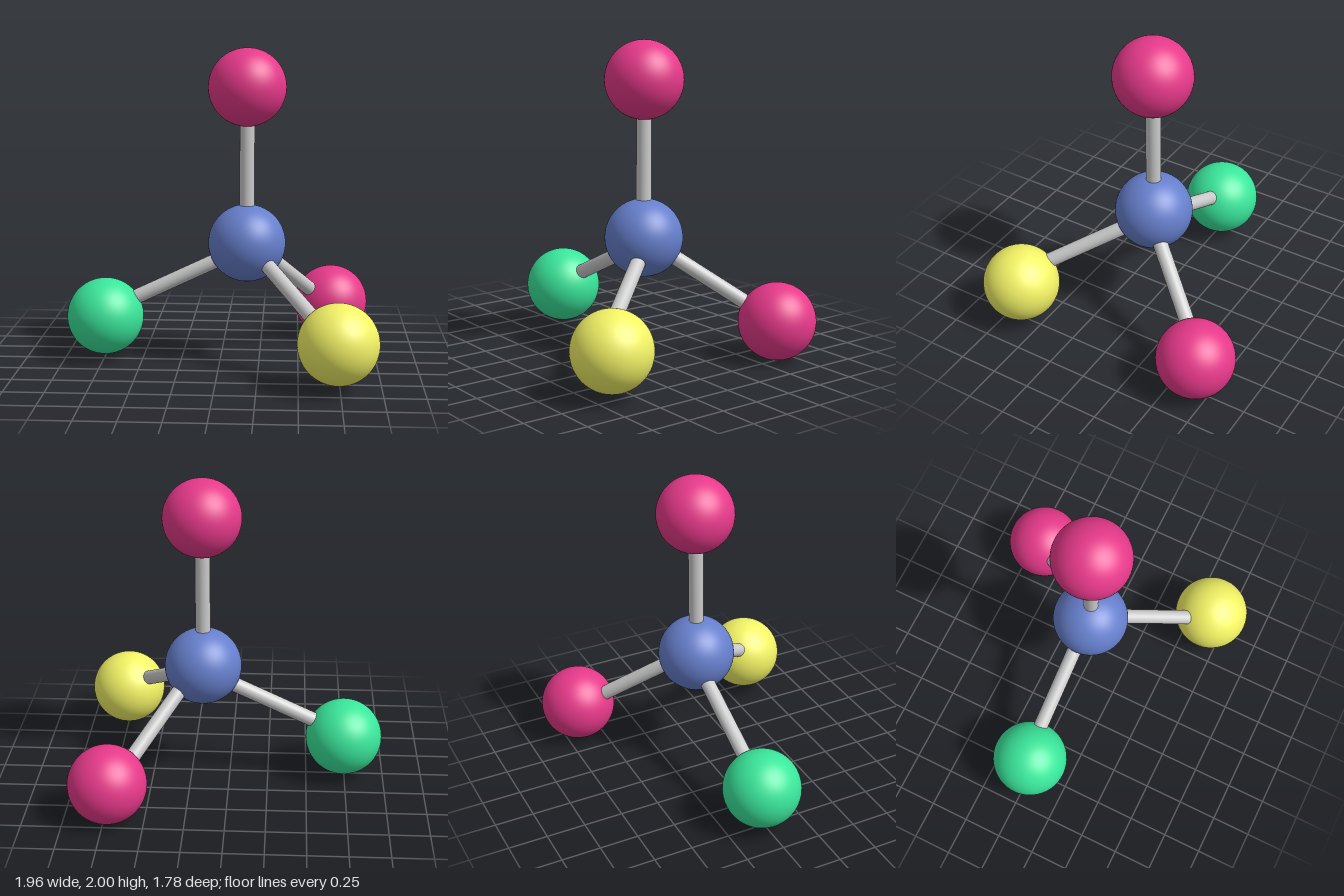
import * as THREE from 'three';

const BALL_RADIUS = 0.245;
const ROD_RADIUS = 0.047;

export function createModel() {
  const model = new THREE.Group();
  model.name = 'ballAndStickModel';

  const material = (color) => new THREE.MeshStandardMaterial({ color });
  const pink = material(0xe6398a);
  const green = material(0x3ae69b);
  const yellow = material(0xf2f266);
  const blue = material(0x667fcc);
  const grey = material(0xcccccc);

  const ballGeometry = new THREE.SphereGeometry(BALL_RADIUS, 64, 40);

  function addBall(name, mat, position) {
    const ball = new THREE.Mesh(ballGeometry, mat);
    ball.name = name;
    ball.position.set(...position);
    model.add(ball);
  }

  // Rod between two points, its ends buried inside the balls
  function addRod(name, from, to) {
    const a = new THREE.Vector3(...from);
    const b = new THREE.Vector3(...to);
    const direction = b.clone().sub(a);
    const geometry = new THREE.CylinderGeometry(ROD_RADIUS, ROD_RADIUS, direction.length(), 32);
    const rod = new THREE.Mesh(geometry, grey);
    rod.name = name;
    rod.position.copy(a).add(b).multiplyScalar(0.5);
    rod.quaternion.setFromUnitVectors(new THREE.Vector3(0, 1, 0), direction.normalize());
    model.add(rod);
  }

  // Balls
  addBall('centreBall', blue, [0.17, 0.77, -0.013]);
  addBall('topBall', pink, [0.17, 1.755, -0.013]);
  addBall('rightBall', green, [-0.738, 0.283, -0.013]);
  addBall('frontLeftBall', yellow, [0.735, 0.294, 0.643]);
  addBall('backLeftBall', pink, [0.722, 0.248, -0.643]);

  // Rods, slightly off the line between ball centres
  addRod('topRod', [0.17, 0.77, -0.012], [0.17, 1.7, -0.012]);
  addRod('rightRod', [0.13, 0.723, -0.029], [-0.7, 0.33, -0.031]);
  addRod('frontLeftRod', [0.2, 0.742, -0.01], [0.69, 0.331, 0.666]);
  addRod('backLeftRod', [0.2, 0.773, 0.005], [0.68, 0.253, -0.636]);

  return model;
}
